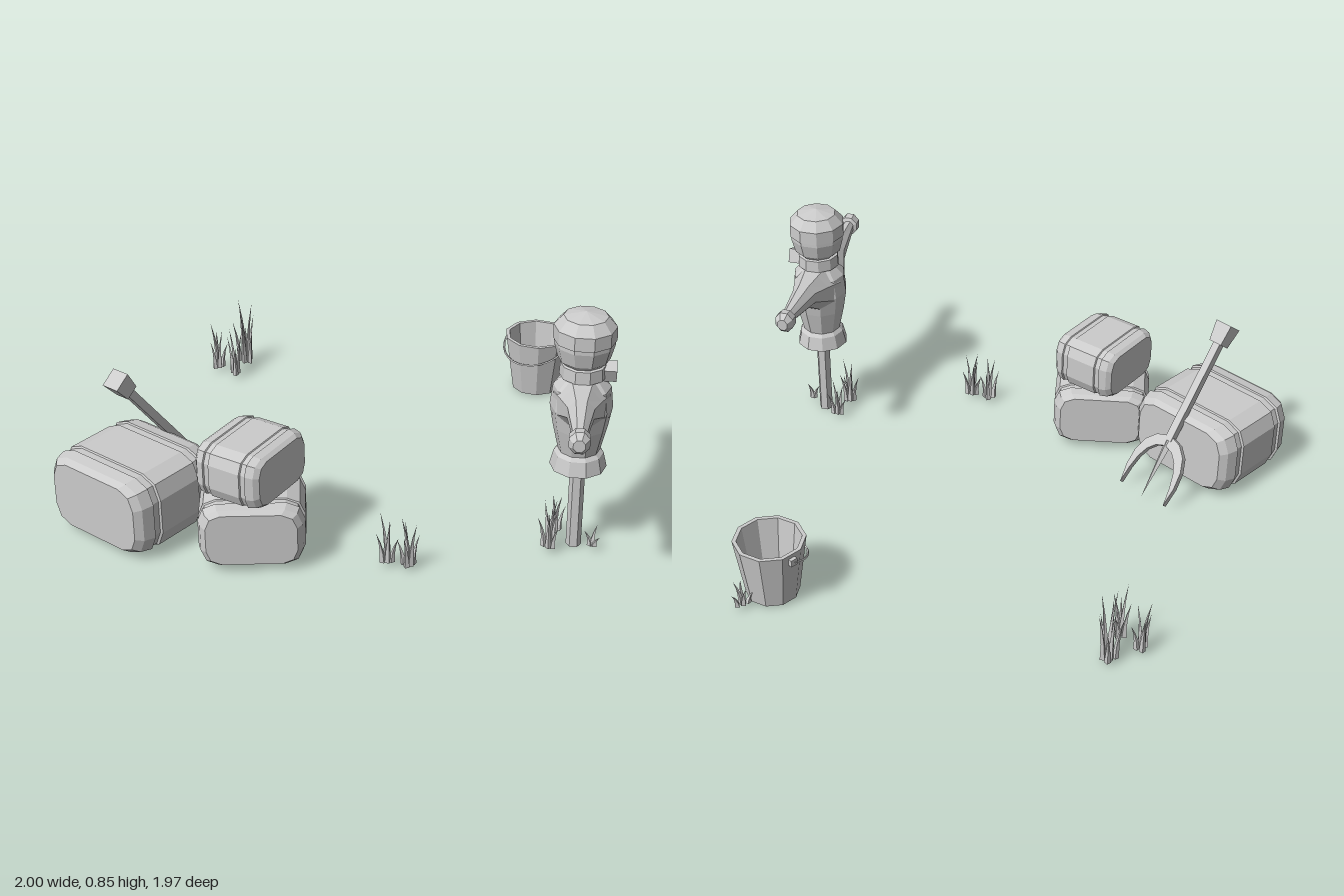
import * as THREE from 'three';

const material = new THREE.MeshStandardMaterial({ color: 0xcccccc, flatShading: true, side: THREE.DoubleSide });

function add(parent, name, geometry, x = 0, y = 0, z = 0) {
  const mesh = new THREE.Mesh(geometry, material);
  mesh.name = name;
  mesh.position.set(x, y, z);
  parent.add(mesh);
  return mesh;
}

function group(parent, name, x = 0, y = 0, z = 0) {
  const g = new THREE.Group();
  g.name = name;
  g.position.set(x, y, z);
  parent.add(g);
  return g;
}

// Skin over rings of points (counter-clockwise, stacked along +z), capped at both ends
function loft(rings) {
  const n = rings[0].length, index = [];
  for (let i = 0; i < rings.length - 1; i++) {
    for (let j = 0; j < n; j++) {
      const a = i * n + j, b = i * n + (j + 1) % n;
      index.push(a, b, b + n, a, b + n, a + n);
    }
  }
  const last = (rings.length - 1) * n;
  for (let j = 1; j < n - 1; j++) index.push(0, j + 1, j, last, last + j, last + j + 1);
  const g = new THREE.BufferGeometry();
  g.setAttribute('position', new THREE.Float32BufferAttribute(rings.flat(2), 3));
  g.setIndex(index);
  g.computeVertexNormals();
  return g;
}

const lathe = (points, sides) => new THREE.LatheGeometry(points.map(p => new THREE.Vector2(...p)), sides);

// Rounded straw bale with two pressed-in strap channels
function baleGeometry(w, h, d) {
  const quarter = [[1, 0.45], [0.9, 0.84], [0.66, 1]];
  const back = [...quarter].reverse();
  const profile = [
    ...quarter, ...back.map(([x, y]) => [-x, y]),
    ...quarter.map(([x, y]) => [-x, -y]), ...back.map(([x, y]) => [x, -y]),
  ];
  const half = [[-0.5, 0.85], [-0.44, 0.95], [-0.33, 1], [-0.32, 0.965], [-0.25, 0.965], [-0.24, 1]];
  const stations = [...half, ...[...half].reverse().map(([z, s]) => [-z, s])];
  return loft(stations.map(([z, s]) => profile.map(([x, y]) => [x * s * w / 2, y * s * h / 2, z * d])));
}

function addFork(root) {
  const fork = group(root, 'pitchfork', -0.45, 0.54, 0.815);
  fork.rotation.x = 0.66;
  add(fork, 'forkHandle', new THREE.BoxGeometry(0.028, 0.42, 0.028), 0, -0.22, 0);
  const grip = add(fork, 'forkGrip', new THREE.CylinderGeometry(0.046, 0.036, 0.075, 4), 0, -0.01, 0);
  grip.geometry.rotateY(Math.PI / 4);

  // Crescent of outer tines
  const s = new THREE.Shape();
  s.moveTo(-0.1, -0.64);
  s.bezierCurveTo(-0.125, -0.52, -0.1, -0.42, 0, -0.41);
  s.bezierCurveTo(0.1, -0.42, 0.125, -0.52, 0.1, -0.64);
  s.bezierCurveTo(0.09, -0.53, 0.07, -0.46, 0, -0.45);
  s.bezierCurveTo(-0.07, -0.46, -0.09, -0.53, -0.1, -0.64);
  const opts = { depth: 0.022, bevelEnabled: false, curveSegments: 5 };
  add(fork, 'outerTines', new THREE.ExtrudeGeometry(s, opts), 0, 0, -0.011);
  const tine = add(fork, 'middleTine', new THREE.ConeGeometry(0.016, 0.22, 4), 0, -0.54, 0);
  tine.rotation.x = Math.PI;
}

function addScarecrow(root) {
  const s = group(root, 'scarecrow', 0.785, 0, 0);
  s.rotation.y = 2.112;
  add(s, 'pole', new THREE.CylinderGeometry(0.025, 0.025, 0.35, 6), 0, 0.18, 0);
  add(s, 'shirt', lathe([[0, 0.325], [0.092, 0.31], [0.08, 0.36], [0.068, 0.372], [0.088, 0.46],
    [0.1, 0.53], [0.092, 0.6], [0.05, 0.645], [0, 0.645]], 10));

  // Each arm: [distance out, centre height, half height, half thickness], ending in a cuff and hand
  const stations = [[0.02, 0.54, 0.1, 0.09], [0.09, 0.565, 0.07, 0.065], [0.165, 0.59, 0.043, 0.042],
    [0.34, 0.606, 0.022, 0.02], [0.345, 0.606, 0.034, 0.032], [0.375, 0.606, 0.037, 0.032], [0.395, 0.606, 0.02, 0.018]];
  const arm = loft(stations.map(([z, y, ry, rx]) => Array.from({ length: 8 }, (_, j) => {
    const t = (j + 0.5) / 8 * Math.PI * 2;
    return [Math.cos(t) * rx * 1.08, y + Math.sin(t) * ry * 1.08, z];
  })));
  for (const side of [1, -1]) {
    add(s, side > 0 ? 'leftArm' : 'rightArm', arm).rotation.y = side * Math.PI / 2;
  }

  // Scarf with a knot at the front
  add(s, 'scarf', lathe([[0.045, 0.635], [0.075, 0.638], [0.073, 0.68], [0.045, 0.688]], 10));
  const knot = add(s, 'scarfKnot', new THREE.BoxGeometry(0.045, 0.05, 0.04), 0, 0.655, 0.085);
  knot.rotation.z = 0.4;
  add(s, 'head', lathe([[0, 0.665], [0.05, 0.67], [0.083, 0.7], [0.096, 0.75], [0.096, 0.77], [0, 0.77]], 10));
  add(s, 'cap', lathe([[0, 0.764], [0.1, 0.764], [0.099, 0.81], [0.07, 0.843], [0, 0.858]], 10));
}

function addBucket(root) {
  const b = group(root, 'bucket', 0.08, 0, -0.83);
  add(b, 'pail', lathe([[0, 0.012], [0.09, 0.012], [0.122, 0.228], [0.108, 0.228], [0.084, 0.04], [0, 0.04]], 10));
  for (const x of [-0.118, 0.118]) {
    add(b, 'handleMount', new THREE.BoxGeometry(0.018, 0.025, 0.025), x, 0.2, 0);
  }
  // Wire handle dropped against the side
  const arc = [];
  for (let i = 0; i <= 10; i++) {
    const t = i / 10 * Math.PI;
    arc.push(new THREE.Vector3(Math.cos(t) * 0.125, 0.2 - Math.sin(t) * 0.05, Math.sin(t) * 0.122));
  }
  add(b, 'bucketHandle', new THREE.TubeGeometry(new THREE.CatmullRomCurve3(arc), 14, 0.004, 4));
}

// Clump of tapered blades that bend outward
function addGrass(root, x, z, height, spread, count = 6) {
  const clump = group(root, 'grassClump', x, 0.02, z);
  for (let i = 0; i < count; i++) {
    const h = height * (1 - 0.62 * i / count);
    const blade = new THREE.ConeGeometry(0.011, h, 4, 3);
    blade.translate(0, h / 2, 0);
    const p = blade.attributes.position;
    for (let k = 0; k < p.count; k++) p.setX(k, p.getX(k) + 0.022 * (p.getY(k) / h) ** 2);
    const angle = i * 2.4 + x * 9;
    const r = spread * Math.sqrt(i / count);
    add(clump, 'grassBlade', blade, Math.cos(angle) * r, 0, -Math.sin(angle) * r).rotation.y = angle;
  }
}

export function createModel() {
  const root = new THREE.Group();
  root.name = 'farmYard';

  // Straw bales
  add(root, 'largeBale', baleGeometry(0.432, 0.272, 0.365), -0.447, 0.15, 0.79);
  add(root, 'lowerBale', baleGeometry(0.345, 0.215, 0.3), -0.033, 0.127, 0.66).rotation.y = 0.7;
  add(root, 'upperBale', baleGeometry(0.3, 0.185, 0.245), -0.037, 0.328, 0.655).rotation.y = -1.45;

  addFork(root);
  addScarecrow(root);
  addBucket(root);

  // Grass: x, z, height, spread, blades
  const clumps = [
    [-0.92, -0.28, 0.27, 0.03, 8], [-0.97, -0.175, 0.19, 0.02, 5], [-0.88, -0.175, 0.2, 0.02, 5],
    [0.375, 0.475, 0.18, 0.02, 5], [0.445, 0.45, 0.18, 0.02, 6],
    [0.74, 0.08, 0.18, 0.02, 6], [0.705, -0.01, 0.14, 0.018, 5], [0.85, -0.01, 0.07, 0.01, 3],
    [0.09, -0.955, 0.09, 0.025, 5],
  ];
  for (const c of clumps) addGrass(root, ...c);
  return root;
}
